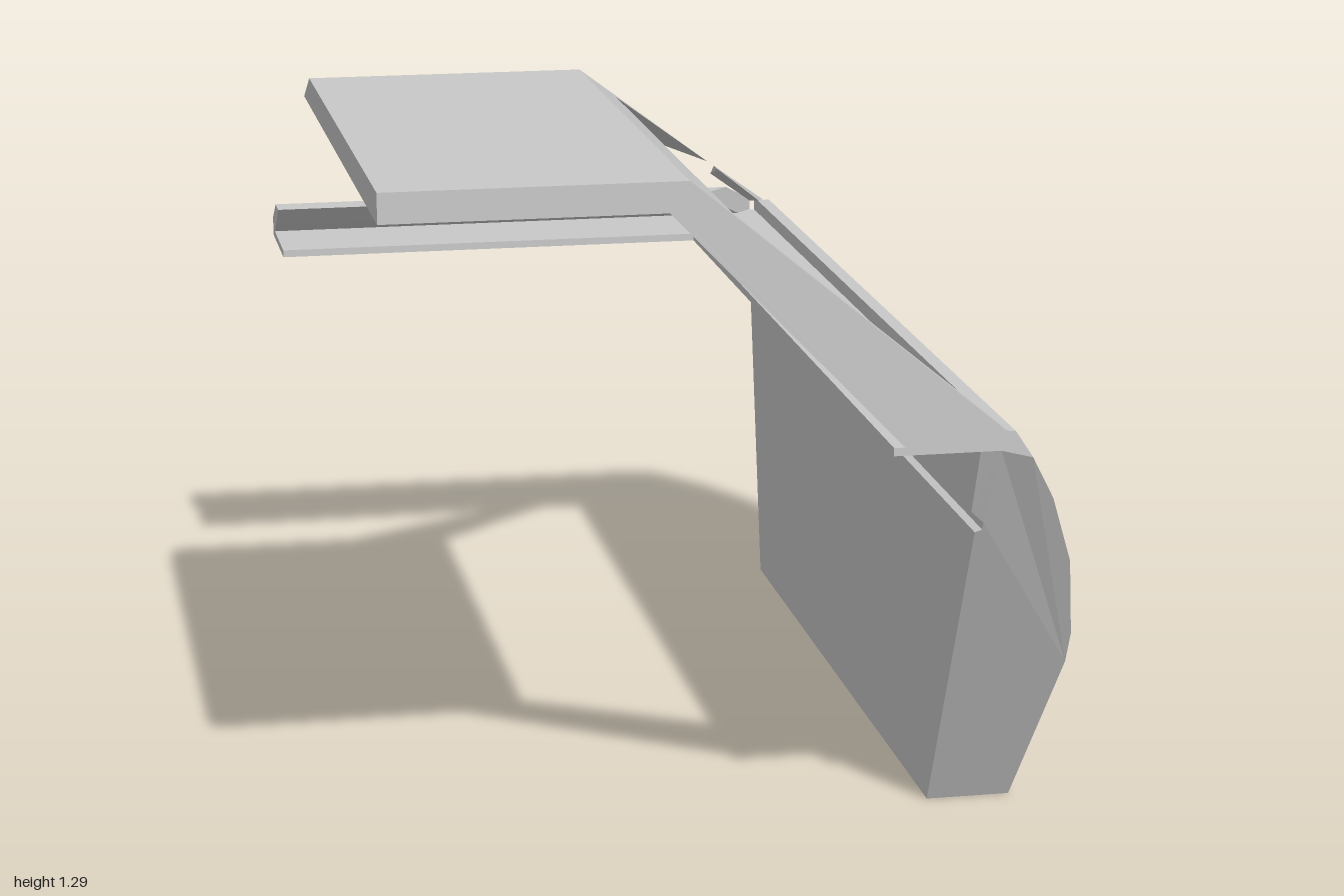
import * as THREE from 'three';
import { ConvexGeometry } from 'three/addons/geometries/ConvexGeometry.js';

const bodyGrey = new THREE.MeshStandardMaterial({ color: 0xc8c8c8 });
bodyGrey.name = 'bodyGrey';

const extrude = (points) => new THREE.ExtrudeGeometry(
  new THREE.Shape(points.map(([x, y]) => new THREE.Vector2(x, y))),
  { depth: 1, bevelEnabled: false });

// Section in x/y, swept along z; both ends may lean with height.
function sweepZ(points, back, front) {
  const geometry = extrude(points);
  const p = geometry.attributes.position;
  for (let i = 0; i < p.count; i++) {
    const y = p.getY(i);
    p.setZ(i, p.getZ(i) < 0.5 ? back(y) : front(y));
  }
  geometry.computeVertexNormals();
  return geometry;
}

// Section in z/y, swept along x; the left end may vary with z.
function sweepX(points, start, end) {
  const geometry = extrude(points.map(([z, y]) => [-z, y])).rotateY(Math.PI / 2);
  const p = geometry.attributes.position;
  for (let i = 0; i < p.count; i++) {
    p.setX(i, p.getX(i) < 0.5 ? start : end(p.getZ(i)));
  }
  geometry.computeVertexNormals();
  return geometry;
}

const hull = (points) => new ConvexGeometry(points.map((v) => new THREE.Vector3(...v)));

export function createModel() {
  const model = new THREE.Group();
  model.name = 'cabinSide';
  const add = (name, geometry) => {
    const mesh = new THREE.Mesh(geometry, bodyGrey);
    mesh.name = name;
    model.add(mesh);
  };

  // Bulging door with raked front and rear ends
  add('door', sweepZ([
    [0.425, 0], [0.585, 0], [0.645, 0.31], [0.645, 0.375], [0.615, 0.54],
    [0.56, 0.68], [0.508, 0.77], [0.475, 0.82], [0.45, 0.82], [0.45, 0.785],
    [0.412, 0.785], [0.412, 0.66], [0.438, 0.635], [0.438, 0.62], [0.425, 0.615],
  ], (y) => -0.83 - 0.17 * Math.min(y / 0.82, 1),
  (y) => 0.64 + 0.36 * Math.min(y / 0.77, 1)));

  // Inner ledge and outer lip below the side window
  add('windowSill', sweepZ([
    [0.255, 0.785], [0.47, 0.785], [0.475, 0.815], [0.46, 0.822], [0.44, 0.828],
    [0.44, 0.8], [0.255, 0.8],
  ], () => -0.995, () => 1));

  // Front pillar, a flat plate facing forward
  add('frontPillar', sweepZ([
    [-0.145, 1.235], [0.29, 0.785], [0.475, 0.785], [0.487, 0.8],
    [0.46, 0.82], [-0.11, 1.29],
  ], () => 0.943, () => 1));

  // Roof with wedge-shaped rear edge
  add('roof', sweepX([
    [1, 1.235], [1, 1.29], [-0.11, 1.29], [-0.22, 1.235],
  ], -0.645, () => -0.11));

  // Sloping rail above the side window
  add('roofRail', sweepZ([
    [-0.145, 1.235], [-0.04, 1.215], [-0.02, 1.215], [-0.11, 1.29],
  ], (y) => -0.11 - (1.29 - y) * 1.2, () => 1));

  // Rear pillar in two pieces with a small gap between them
  add('rearPillarUpper', hull([
    [-0.11, 1.29, -0.11], [-0.23, 1.235, -0.22], [-0.02, 1.215, -0.2],
    [0.265, 0.98, -0.675], [0.27, 0.972, -0.73],
  ]));
  add('rearPillarLower', hull([
    [0.3, 0.95, -0.735], [0.3, 0.95, -0.77], [0.3, 0.925, -0.81],
    [0.44, 0.83, -0.95], [0.46, 0.822, -1], [0.43, 0.82, -1],
  ]));

  // Rear deck: flat ledge with an overhanging sloped lip
  add('rearLedge', sweepX([
    [-0.77, 0.785], [-0.77, 0.8], [-0.995, 0.8], [-0.995, 0.785],
  ], -0.645, () => 0.44));
  add('rearLip', sweepX([
    [-1, 0.785], [-0.97, 0.797], [-0.93, 0.822], [-0.87, 0.868],
    [-0.93, 0.868], [-1, 0.825],
  ], -0.645, (z) => 0.43 - (z + 1)));

  return model;
}
